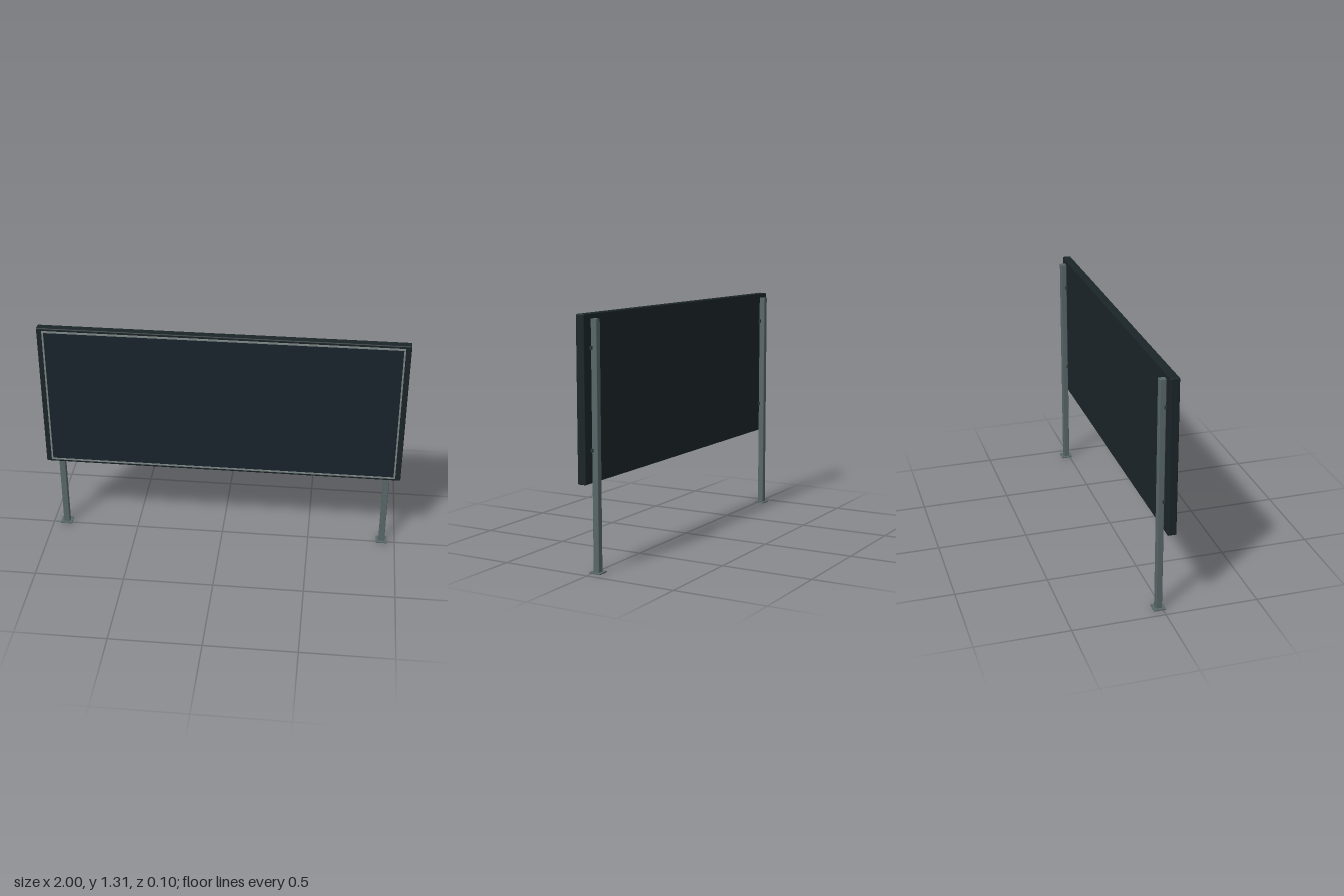
import * as THREE from 'three';
import { RoundedBoxGeometry } from 'three/addons/geometries/RoundedBoxGeometry.js';

const material = (color) => new THREE.MeshStandardMaterial({ color });
const casingMat = material(0x1b2528);
const screenMat = material(0x18222c);
const trimMat = material(0x7c8685);
const steelMat = material(0x586668);
const clipMat = material(0x2c3638);

function add(parent, name, geometry, mat, x, y, z) {
  const mesh = new THREE.Mesh(geometry, mat);
  mesh.name = name;
  mesh.position.set(x, y, z);
  parent.add(mesh);
  return mesh;
}

// Rectangular ring extruded along z
function ringGeometry(w, h, border, depth) {
  const rect = (P, a, b) => new P([
    new THREE.Vector2(-a, -b), new THREE.Vector2(a, -b),
    new THREE.Vector2(a, b), new THREE.Vector2(-a, b),
  ]);
  const shape = rect(THREE.Shape, w / 2, h / 2);
  shape.holes.push(rect(THREE.Path, w / 2 - border, h / 2 - border));
  return new THREE.ExtrudeGeometry(shape, { depth, bevelEnabled: false });
}

// Upright square tube with softly rounded corners
function postGeometry(size, height, r) {
  const c = size / 2 - r;
  const shape = new THREE.Shape();
  shape.absarc(c, c, r, 0, Math.PI / 2);
  shape.absarc(-c, c, r, Math.PI / 2, Math.PI);
  shape.absarc(-c, -c, r, Math.PI, Math.PI * 1.5);
  shape.absarc(c, -c, r, Math.PI * 1.5, Math.PI * 2);
  const geometry = new THREE.ExtrudeGeometry(shape, { depth: height, bevelEnabled: false, curveSegments: 4 });
  return geometry.rotateX(-Math.PI / 2);
}

export function createModel() {
  const model = new THREE.Group();
  model.name = 'displayBoard';

  // Board: casing, raised trim and display face
  const midY = 0.8825;
  const board = new THREE.Group();
  board.name = 'board';
  model.add(board);
  add(board, 'casing', new RoundedBoxGeometry(2, 0.845, 0.047, 2, 0.005), casingMat, 0, midY, 0.0235);
  add(board, 'trim', ringGeometry(1.94, 0.815, 0.009, 0.007), trimMat, 0, midY, 0.046);
  add(board, 'screen', new THREE.BoxGeometry(1.922, 0.797, 0.005), screenMat, 0, midY, 0.0475);

  // Two posts, each with a foot plate and two mounting clips
  for (const side of [-1, 1]) {
    const leg = new THREE.Group();
    leg.name = side > 0 ? 'leftPost' : 'rightPost';
    leg.position.set(side * 0.925, 0, -0.0175);
    model.add(leg);
    add(leg, 'post', postGeometry(0.034, 1.277, 0.004), steelMat, 0, 0.003, 0);
    add(leg, 'footPlate', new THREE.BoxGeometry(0.064, 0.006, 0.064), steelMat, 0, 0.003, 0);
    for (const y of [0.627, 1.138]) {
      add(leg, 'mountingClip', new THREE.BoxGeometry(0.054, 0.018, 0.011), clipMat, 0, y, 0.0125);
    }
  }
  return model;
}
